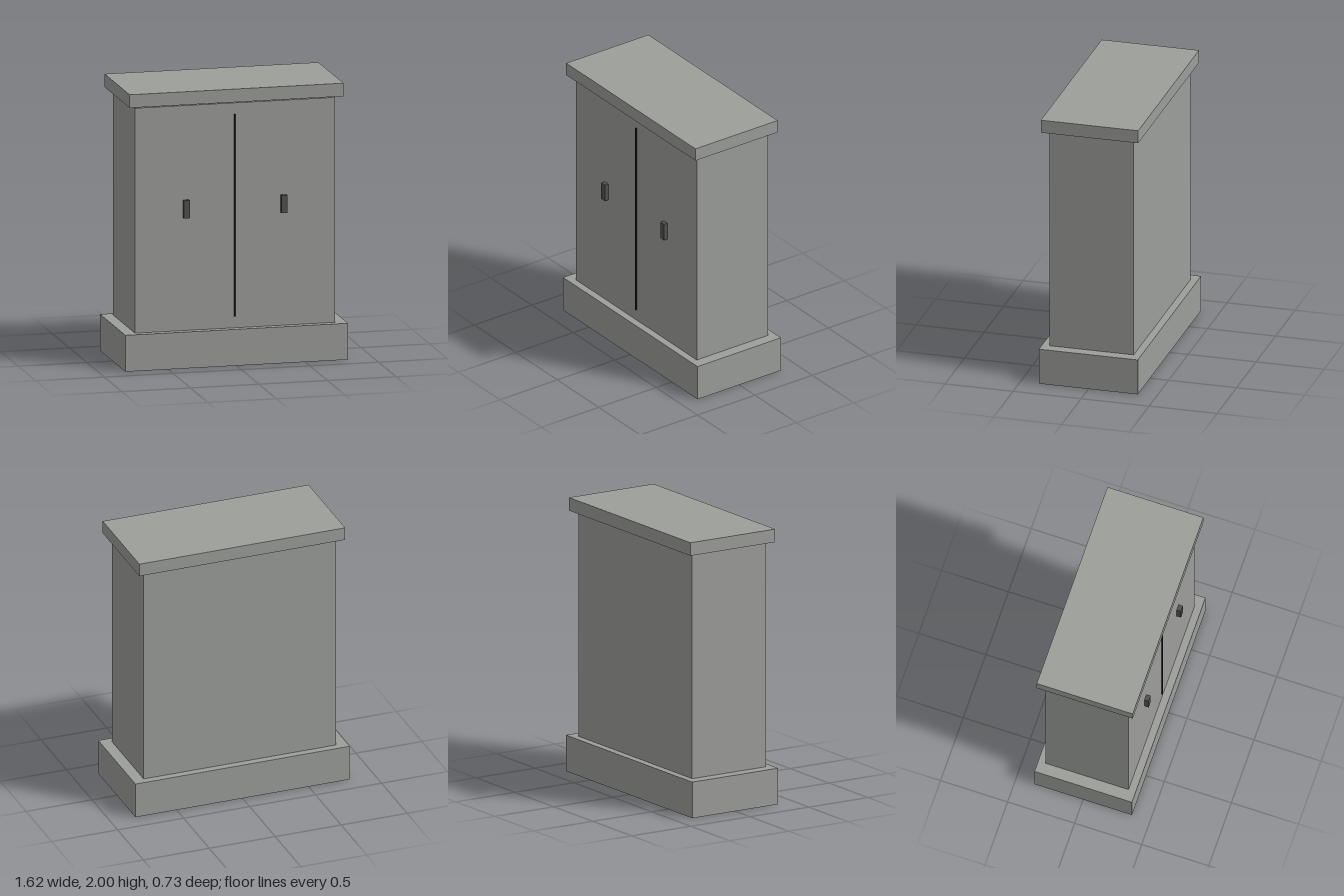
import * as THREE from 'three';

const paint = (name, color) => {
  const material = new THREE.MeshStandardMaterial({ color });
  material.name = name;
  return material;
};

// Box given by its lower and upper limits on each axis
function block(name, material, [x0, x1], [y0, y1], [z0, z1]) {
  const mesh = new THREE.Mesh(new THREE.BoxGeometry(x1 - x0, y1 - y0, z1 - z0), material);
  mesh.position.set((x0 + x1) / 2, (y0 + y1) / 2, (z0 + z1) / 2);
  mesh.name = name;
  return mesh;
}

export function createModel() {
  const cabinet = new THREE.Group();
  cabinet.name = 'cabinet';

  const grey = paint('grey metal', 0x9c9e9a);
  const darkGrey = paint('dark grey', 0x505250);
  const black = paint('seam black', 0x202226);

  // Plinth, body and the lid floating just above the body
  cabinet.add(
    block('plinth', grey, [-0.812, 0.812], [0, 0.263], [-0.363, 0.364]),
    block('body', grey, [-0.729, 0.729], [0.263, 1.89], [-0.309, 0.311]),
    block('lid', grey, [-0.78, 0.78], [1.905, 2], [-0.357, 0.359])
  );

  // Line between the two doors
  cabinet.add(block('doorSeam', black, [-0.005, 0.005], [0.345, 1.808], [0.311, 0.32]));

  // One handle on each door
  for (const [name, x] of [['rightHandle', -0.358], ['leftHandle', 0.355]]) {
    cabinet.add(block(name, darkGrey, [x - 0.022, x + 0.022], [1.08, 1.208], [0.311, 0.343]));
  }

  return cabinet;
}
